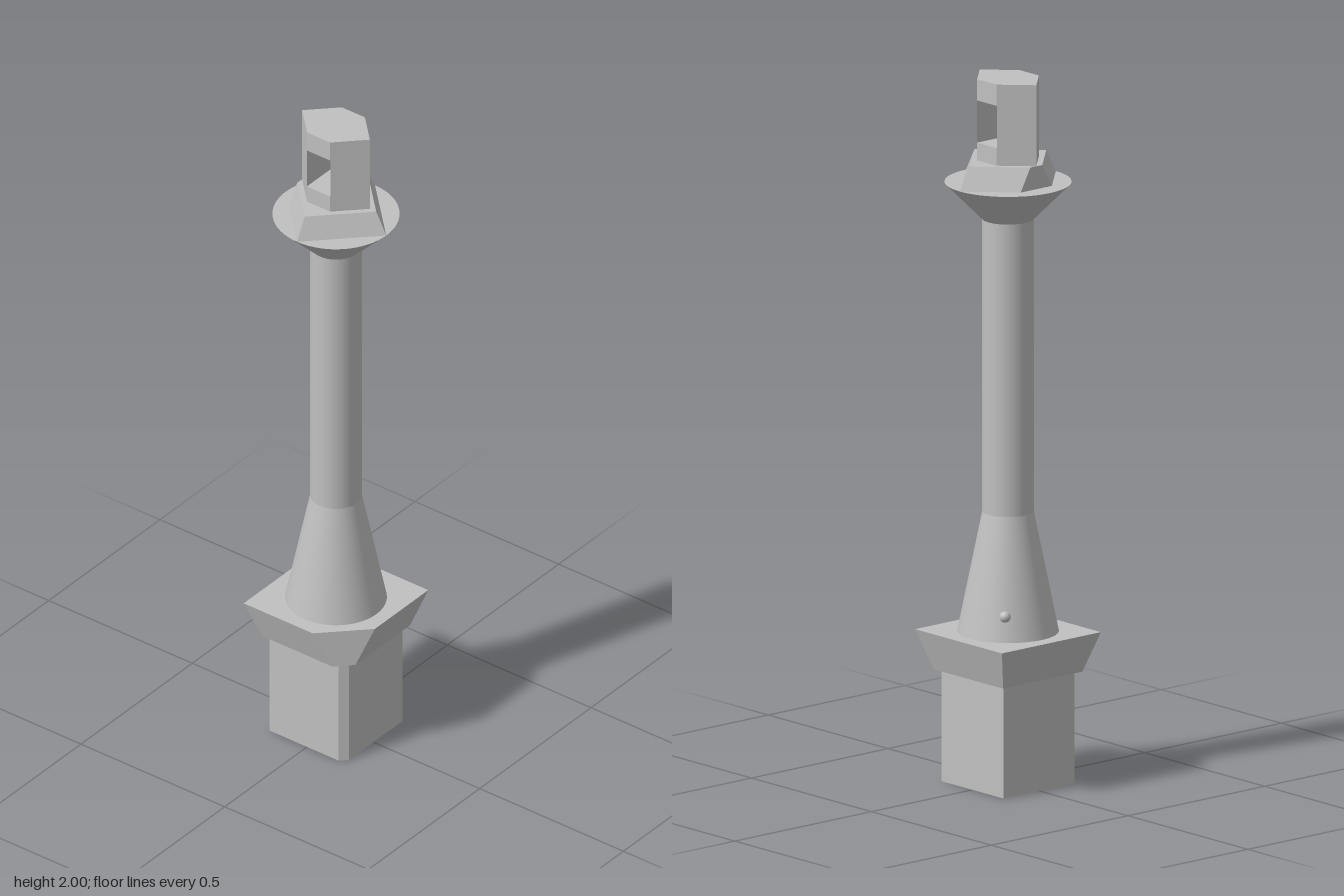
import * as THREE from 'three';
import { toCreasedNormals } from 'three/addons/utils/BufferGeometryUtils.js';

// Straight-sided solid between two outlines of [x, z], counter-clockwise from above
function loft(bottom, top, y0, y1) {
  const v = [], n = bottom.length;
  const b = i => [bottom[i % n][0], y0, bottom[i % n][1]];
  const t = i => [top[i % n][0], y1, top[i % n][1]];
  for (let i = 0; i < n; i++) {
    v.push(...b(i), ...b(i + 1), ...t(i + 1), ...b(i), ...t(i + 1), ...t(i));
    if (i > 0 && i < n - 1) {
      v.push(...t(0), ...t(i), ...t(i + 1), ...b(0), ...b(i + 1), ...b(i));
    }
  }
  const g = new THREE.BufferGeometry();
  g.setAttribute('position', new THREE.Float32BufferAttribute(v, 3));
  g.computeVertexNormals();
  return g;
}

// Square with its front right corner (-x, +z) cut off
const cutSquare = (h, c) => [[h, h], [h, -h], [-h, -h], [-h, h - c], [-h + c, h]];

// Diamond with its rear corner cut off
const cutDiamond = (r, back) => [[r, 0], [r - back, -back], [back - r, -back], [-r, 0], [0, r]];

export function createModel() {
  const model = new THREE.Group();
  const grey = new THREE.MeshStandardMaterial({ color: 0xc0c0c0 });
  grey.name = 'light grey';
  const add = (name, geometry) => {
    const mesh = new THREE.Mesh(geometry, grey);
    mesh.name = name;
    model.add(mesh);
    return mesh;
  };
  const round = (name, rBottom, rTop, y0, y1) => {
    const g = new THREE.CylinderGeometry(rTop, rBottom, y1 - y0, 64);
    add(name, g).position.y = (y0 + y1) / 2;
  };

  // Square foot with a round bore from below
  const foot = new THREE.Shape(cutSquare(0.13, 0.02).map(([x, z]) => new THREE.Vector2(x, -z)));
  foot.holes.push(new THREE.Path().absarc(0, 0, 0.053, 0, Math.PI * 2, true));
  const footGeometry = new THREE.ExtrudeGeometry(foot, { depth: 0.32, bevelEnabled: false, curveSegments: 32 });
  footGeometry.rotateX(-Math.PI / 2);
  add('foot', toCreasedNormals(footGeometry, 0.5));

  // Flared collar above the foot
  add('lowerCollar', loft(cutSquare(0.145, 0.045), cutSquare(0.181, 0.122), 0.317, 0.43));

  // Round stem
  round('taper', 0.14, 0.071, 0.43, 0.77);
  round('shaft', 0.071, 0.071, 0.77, 1.6);
  round('upperFlare', 0.071, 0.175, 1.6, 1.705);

  // Small locating stud on the rear left of the taper
  const stud = add('stud', new THREE.SphereGeometry(0.016, 20, 14));
  stud.position.set(0.087, 0.5, -0.087);

  // Bevelled diamond seat
  add('upperCollar', loft(cutDiamond(0.175, 0.118), cutDiamond(0.14, 0.118), 1.705, 1.77));

  // Six-sided head with a slot through it from side to side
  const r = 0.118, w = 0.078, s = 0.041;
  const hex = [[w, r - w], [w, w - r], [0, -r], [-w, w - r], [-w, r - w], [0, r]];
  add('headBase', loft(hex, hex, 1.77, 1.82));
  add('headTop', loft(hex, hex, 1.94, 2));
  const frontPost = [[r - s, s], [s - r, s], [0, r]];
  const backPost = [[r - s, -s], [0, -r], [s - r, -s]];
  add('headFrontPost', loft(frontPost, frontPost, 1.82, 1.94));
  add('headBackPost', loft(backPost, backPost, 1.82, 1.94));

  // Sloping roof of the slot
  const roof = new THREE.Shape([[-w, 1.94], [0, 1.91], [w, 1.94]].map(p => new THREE.Vector2(...p)));
  const roofGeometry = new THREE.ExtrudeGeometry(roof, { depth: 2 * s, bevelEnabled: false });
  add('slotRoof', roofGeometry.translate(0, 0, -s));

  return model;
}
